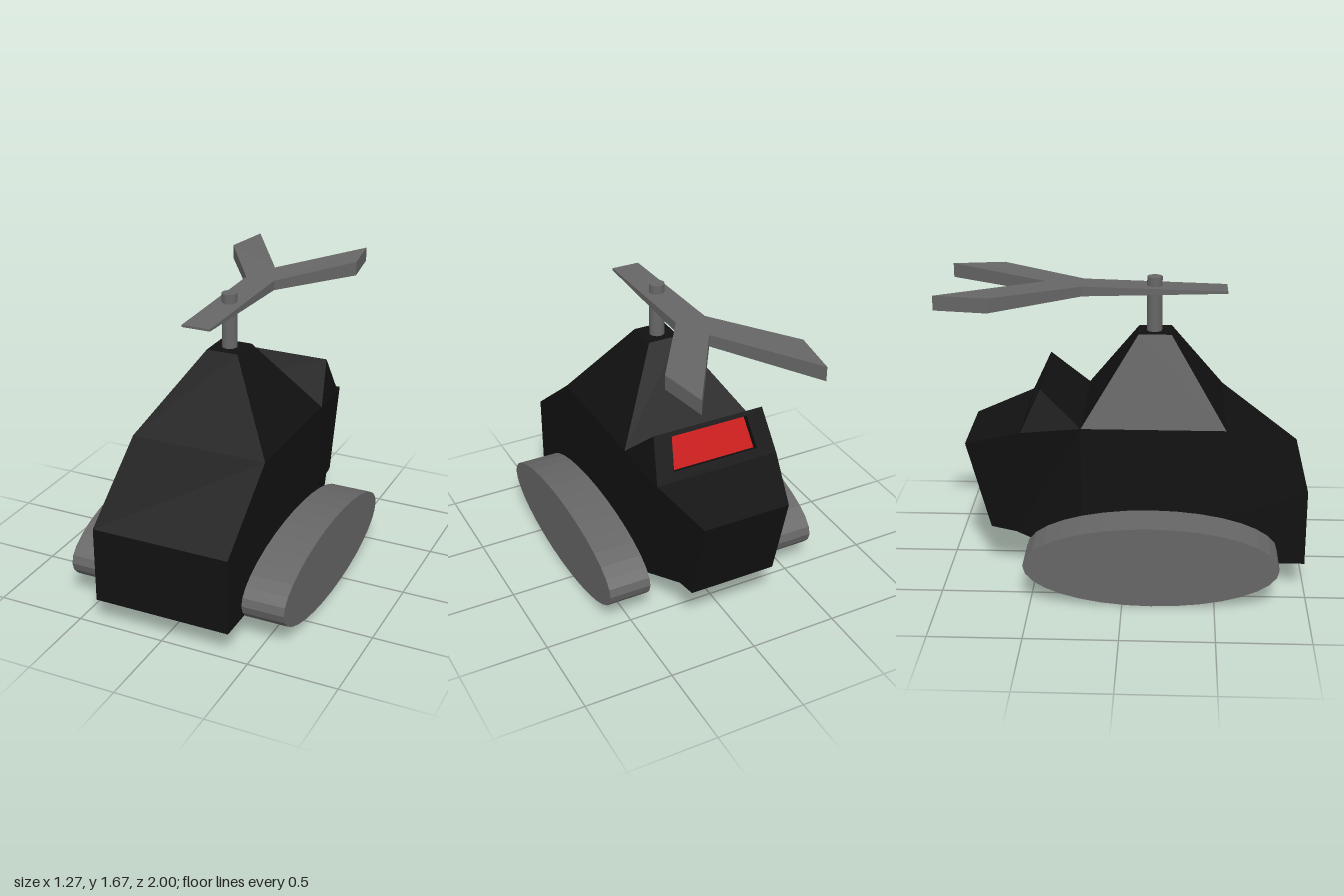
import * as THREE from 'three';

const mat = (color) => new THREE.MeshStandardMaterial({ color, flatShading: true });

// Builds a flat-shaded geometry from convex polygons listed counter-clockwise
function fromPolygons(polygons) {
  const pos = [];
  for (const p of polygons)
    for (let i = 1; i < p.length - 1; i++) pos.push(...p[0], ...p[i], ...p[i + 1]);
  const geo = new THREE.BufferGeometry();
  geo.setAttribute('position', new THREE.Float32BufferAttribute(pos, 3));
  geo.computeVertexNormals();
  return geo;
}

const left = ([z, y, x]) => [x, y, z];
const right = ([z, y, x]) => [-x, y, z];
const strip = (a, b) => [left(a), right(a), right(b), left(b)];

export function createModel() {
  const model = new THREE.Group();
  const add = (name, geo, material) => {
    const mesh = new THREE.Mesh(geo, material);
    mesh.name = name;
    model.add(mesh);
    return mesh;
  };
  const black = mat(0x111111), grey = mat(0x666666), red = mat(0xcc1414);

  // Body profile points: z, y, half width
  const F0 = [1, 0.15, 0.39], F1 = [1, 0.58, 0.39], M = [0.55, 0.93, 0.39];
  const T0 = [0.25, 1.37, 0.09], T1 = [0.07, 1.37, 0.09];
  const A0 = [-0.23, 0.15, 0.39], A1 = [-0.23, 0.93, 0.39];
  const P = [-0.45, 1.13, 0.325];
  const B0 = [-0.61, 0.25, 0.25], B1 = [-0.56, 0.89, 0.36];
  const C0 = [-0.75, 0.28, 0.25], C1 = [-0.88, 0.78, 0.25];

  // Faces running across the body, skipping the one that holds the rear panel
  const faces = [];
  const loop = [F0, A0, B0, C0, C1, B1, P, A1, T1, T0, M, F1];
  loop.forEach((a, i) => {
    if (a !== B1) faces.push(strip(a, loop[(i + 1) % loop.length]));
  });

  // Side faces, mirrored
  const sides = [[F0, A0, A1, M, F1], [A0, B0, B1, A1], [B0, C0, C1, B1], [A1, B1, P], [A1, T1, T0, M]];
  for (const s of sides) faces.push(s.map(left), s.map(right).reverse());

  // Frame and walls of the recess behind the rear crest
  const along = (t, x) => [B1[0] + (P[0] - B1[0]) * t, B1[1] + (P[1] - B1[1]) * t, x];
  const outer = strip(B1, P);
  const hole = strip(along(0.2, 0.25), along(0.9, 0.225));
  const floor = hole.map(([x, y, z]) => [x, y - 0.016, z + 0.036]);
  for (let i = 0; i < 4; i++) {
    const j = (i + 1) % 4;
    faces.push([outer[i], outer[j], hole[j], hole[i]], [hole[i], hole[j], floor[j], floor[i]]);
  }
  add('body', fromPolygons(faces), black);
  add('rearPanel', fromPolygons([floor]), red);

  // Flattened oval side pods
  for (const side of [1, -1]) {
    const geo = new THREE.CylinderGeometry(1, 1, 0.24, 32).rotateZ(Math.PI / 2);
    geo.scale(1, 0.23, 0.69);
    add(side > 0 ? 'leftPod' : 'rightPod', geo, grey).position.set(side * 0.513, 0.23, 0.155);
  }

  // Mast
  add('mast', new THREE.CylinderGeometry(0.042, 0.042, 0.31, 24), grey).position.set(0, 1.518, 0.155);

  // Forked blade, thickening from its front end towards the prongs
  const half = [[0.08, 0.55], [0.085, -0.235], [0.39, -0.71], [0.345, -1]];
  const outline = [...half, [0, -0.44], ...half.map(([x, z]) => [-x, z]).reverse()];
  const shape = new THREE.Shape(outline.map(([x, z]) => new THREE.Vector2(x, -z)));
  const blade = new THREE.ExtrudeGeometry(shape, { depth: 1, bevelEnabled: false });
  blade.rotateX(-Math.PI / 2);
  const p = blade.attributes.position;
  for (let i = 0; i < p.count; i++) {
    const t = Math.min(1, (0.55 - p.getZ(i)) / 1.26);
    p.setY(i, 1.606 + (p.getY(i) - 0.5) * (0.012 + 0.068 * t));
  }
  blade.computeVertexNormals();
  add('forkedBlade', blade, grey);

  return model;
}
